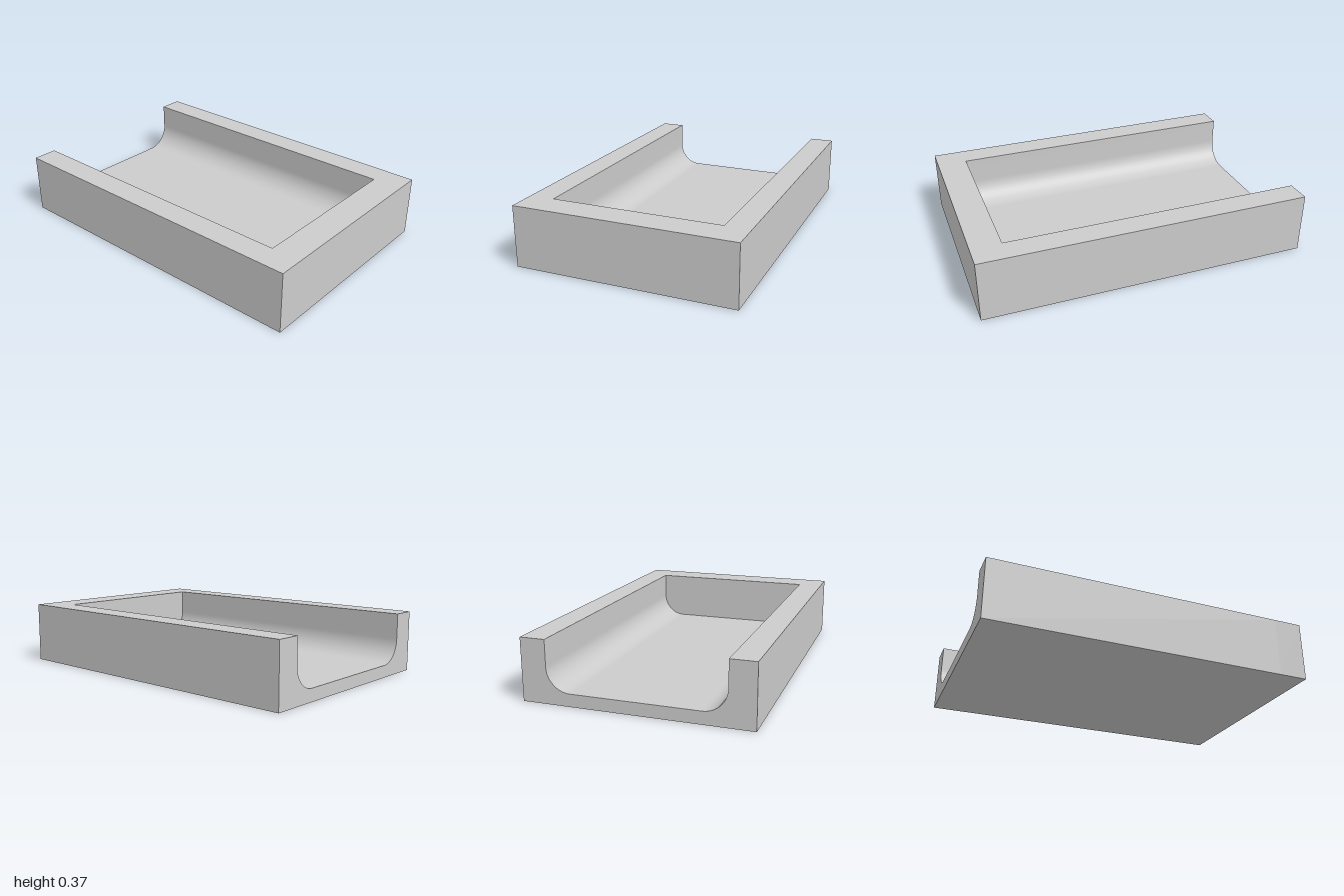
import * as THREE from 'three';
import { toCreasedNormals } from 'three/addons/utils/BufferGeometryUtils.js';

export function createModel() {
  const W = 0.665, H = 0.37;               // half width, height
  const inner = 0.515, floor = 0.075;      // channel half width, floor height
  const r = 0.14;                          // fillet between floor and side walls
  const back = -1, stop = 0.82, front = 1; // the channel is open at the back

  const model = new THREE.Group();
  model.name = 'openTray';
  const material = new THREE.MeshStandardMaterial({ color: 0xcccccc });

  // Floor and side walls: U profile with rounded inner corners
  const profile = new THREE.Shape();
  profile.moveTo(-W, 0);
  profile.lineTo(W, 0);
  profile.lineTo(W, H);
  profile.lineTo(inner, H);
  profile.lineTo(inner, floor + r);
  profile.absarc(inner - r, floor + r, r, 0, -Math.PI / 2, true);
  profile.lineTo(-inner + r, floor);
  profile.absarc(-inner + r, floor + r, r, -Math.PI / 2, -Math.PI, true);
  profile.lineTo(-inner, H);
  profile.lineTo(-W, H);
  profile.closePath();
  const channelGeometry = new THREE.ExtrudeGeometry(profile, {
    depth: stop - back, bevelEnabled: false, curveSegments: 20,
  });
  channelGeometry.translate(0, 0, back);
  const channel = new THREE.Mesh(toCreasedNormals(channelGeometry, 0.5), material);
  channel.name = 'floorAndSideWalls';
  model.add(channel);

  // Solid wall closing the front end
  const wall = new THREE.Mesh(new THREE.BoxGeometry(2 * W, H, front - stop), material);
  wall.position.set(0, H / 2, (front + stop) / 2);
  wall.name = 'frontWall';
  model.add(wall);

  return model;
}
